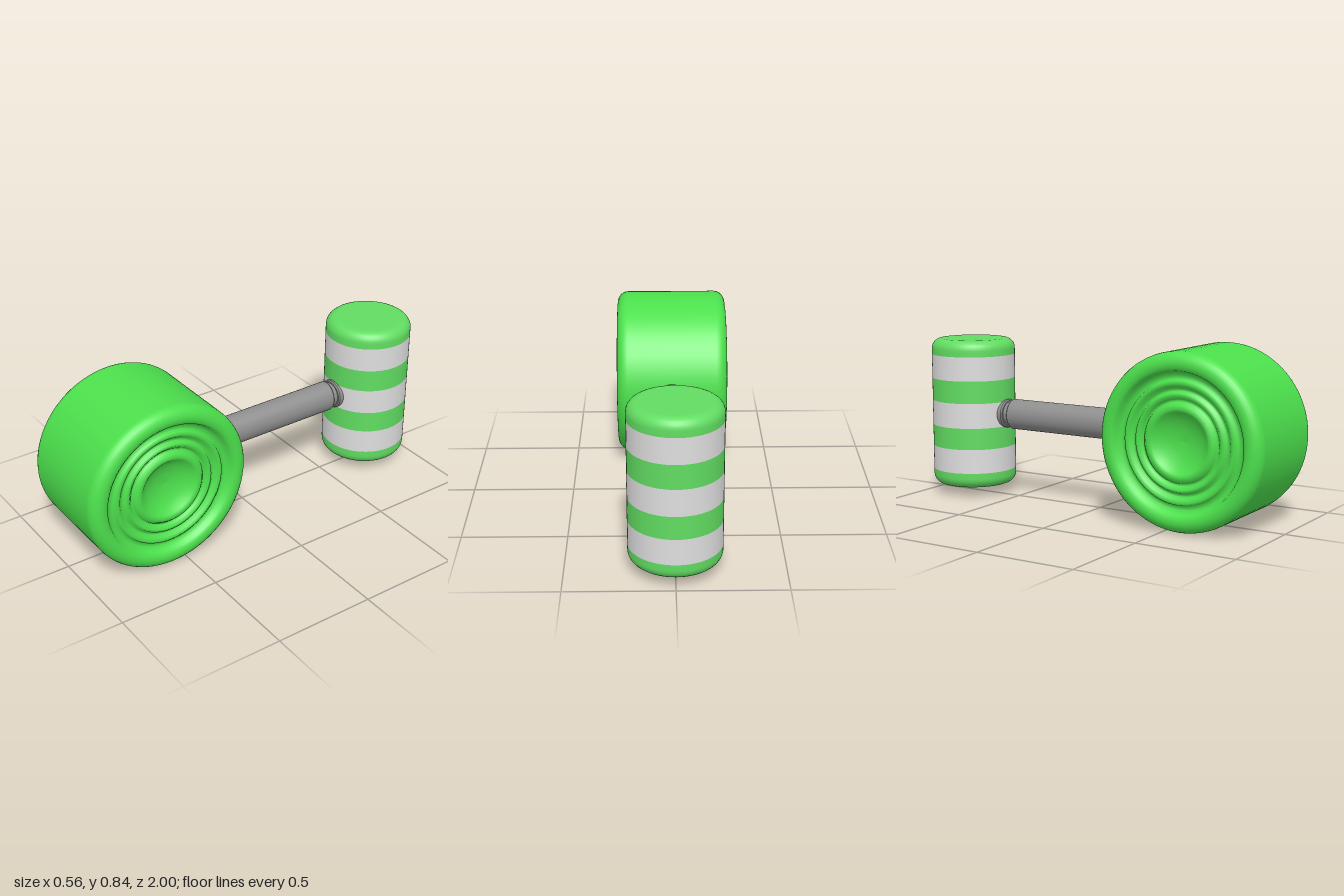
import * as THREE from 'three';

const mat = (name, color) => {
  const m = new THREE.MeshStandardMaterial({ color });
  m.name = name;
  return m;
};

// Smooth lathe from [radius, height] pairs, running bottom to top
function lathe(name, pts, material, segments = 64) {
  const g = new THREE.LatheGeometry(pts.map(p => new THREE.Vector2(p[0], p[1])), segments);
  const mesh = new THREE.Mesh(g, material);
  mesh.name = name;
  return mesh;
}

// Rounded corner points around (cx, cy), angles in degrees
function arc(cx, cy, r, from, to, n = 6) {
  return Array.from({ length: n + 1 }, (_, i) => {
    const a = THREE.MathUtils.degToRad(from + (to - from) * i / n);
    return [cx + r * Math.cos(a), cy + r * Math.sin(a)];
  });
}

export function createModel() {
  const wheelGreen = mat('wheel green', 0x4ce04c);
  const stripeGreen = mat('stripe green', 0x61dc61);
  const stripeWhite = mat('stripe white', 0xdedede);
  const grey = mat('handle grey', 0x8e8e8e);
  const model = new THREE.Group();
  model.name = 'mallet';

  // Big drum lying along x, with concentric ridges and a shallow bowl on both ends
  const face = [
    [0, 0.2], [0.05, 0.204], [0.1, 0.217], [0.135, 0.24], [0.145, 0.25], [0.157, 0.257],
    [0.175, 0.254], [0.188, 0.24], [0.194, 0.23], [0.202, 0.24], [0.216, 0.254], [0.23, 0.25],
    [0.238, 0.235], [0.25, 0.235], [0.262, 0.25], [0.277, 0.257], [0.288, 0.25],
    [0.294, 0.236], [0.312, 0.237], [0.327, 0.25], [0.334, 0.268], [0.347, 0.278], [0.365, 0.28],
  ];
  const topHalf = [...arc(0.365, 0.225, 0.055, 0, 90), ...face.slice(0, -1).reverse()];
  const bottomHalf = topHalf.map(([r, h]) => [r, -h]).reverse();
  const drum = lathe('drum', [...bottomHalf, ...topHalf], wheelGreen, 72);
  drum.rotation.z = -Math.PI / 2;
  drum.position.set(0, 0.423, 0.58);
  model.add(drum);

  // Handle along z: shaft, narrow necks and collars at both ends
  const handle = new THREE.Group();
  handle.name = 'handle';
  const rod = (name, r, z0, z1, rx = r) => {
    const b = 0.006, len = z1 - z0;
    const part = lathe(name, [
      [0, 0], [r - b, 0], [r - b, 0], [r, b], [r, b],
      [r, len - b], [r, len - b], [r - b, len], [r - b, len], [0, len],
    ], grey, 40);
    part.scale.x = rx / r;
    part.rotation.x = Math.PI / 2;
    part.position.set(0, 0.43, z0);
    handle.add(part);
  };
  rod('shaft', 0.077, -0.53, 0.1, 0.07);
  rod('frontNeck', 0.067, 0.09, 0.12);
  rod('frontCollar', 0.073, 0.11, 0.19);
  rod('rearNeck', 0.06, -0.57, -0.52);
  rod('rearCollar', 0.073, -0.62, -0.555);
  model.add(handle);

  // Upright striped head
  const head = new THREE.Group();
  head.name = 'stripedHead';
  const R = 0.215, c = 0.05;
  const edges = [0.13, 0.254, 0.364, 0.492, 0.607, 0.73];
  const bottom = 0.05, top = 0.81;
  head.add(lathe('bottomCap',
    [[0, bottom], [R - c, bottom], ...arc(R - c, bottom + c, c, -90, 0), [R, edges[0]]], stripeGreen));
  for (let i = 0; i < edges.length - 1; i++) {
    head.add(lathe('stripe' + (i + 1), [[R, edges[i]], [R, edges[i + 1]]],
      i % 2 ? stripeGreen : stripeWhite));
  }
  head.add(lathe('topCap',
    [[R, edges[5]], ...arc(R - c, top - c, c, 0, 90), [R - c, top], [0, top]], stripeGreen));
  head.position.z = -0.785;
  model.add(head);

  return model;
}
